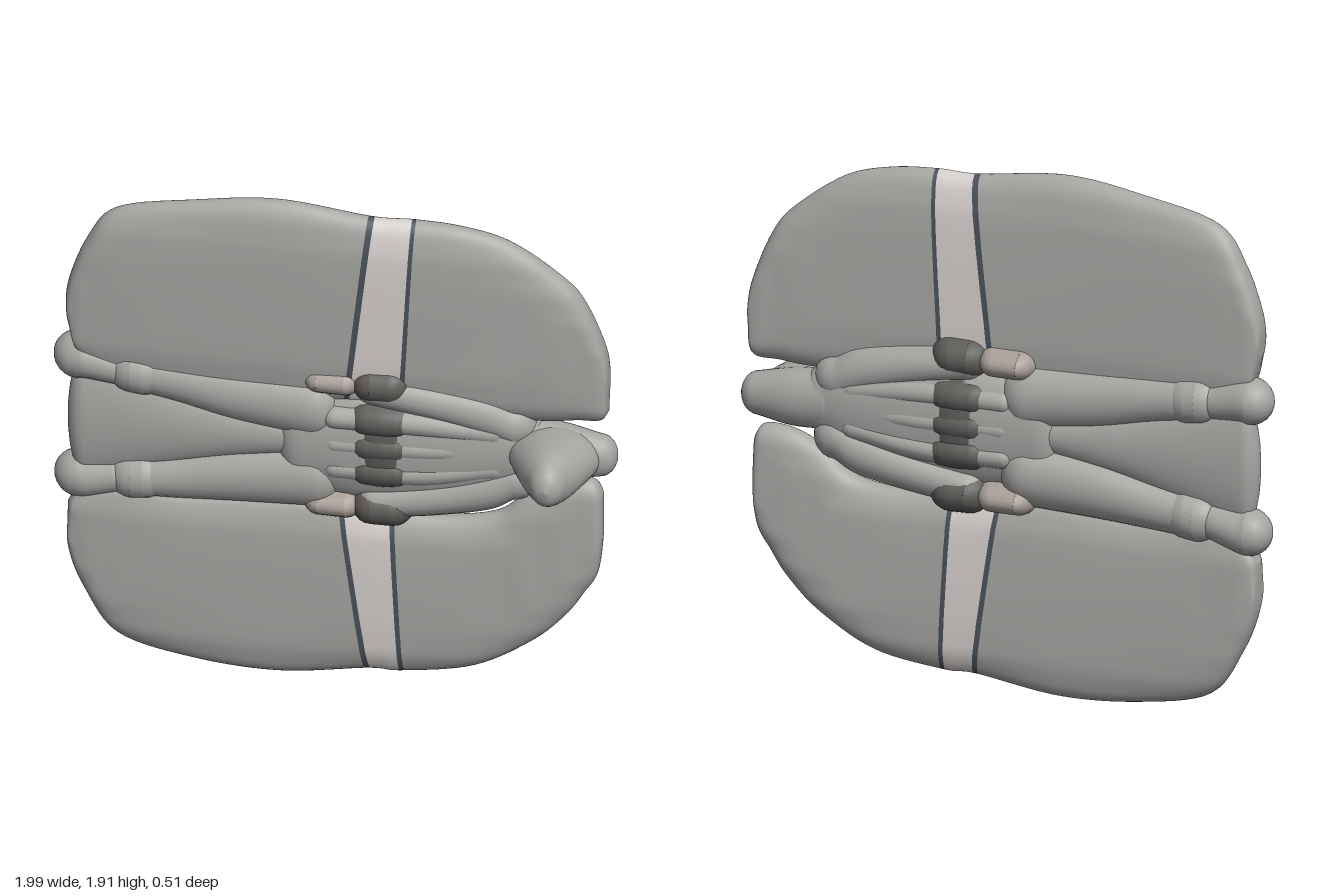
import * as THREE from 'three';

const paint = (color) => new THREE.MeshStandardMaterial({ color, side: THREE.DoubleSide });
const GREY = paint(0xa6a6a3), STRIPE = paint(0xd6d0cd), LINE = paint(0x4a525c);
const DARK = paint(0x5c5b58), CUFF = paint(0xa89e98);

// Middle surface of the whole slab, tilted both ways and slightly bowed
const planeZ = (x, y) => -0.083 + 0.037 * x - 0.033 * x * x + 0.036 * (y - 0.95);

// Skin over closed rings that follow each other along +x
function loft(name, rings, material) {
  const n = rings[0].length, pos = [], idx = [];
  rings.forEach((ring) => ring.forEach((p) => pos.push(...p)));
  for (let i = 0; i < rings.length - 1; i++) {
    for (let j = 0; j < n; j++) {
      const a = i * n + j, b = i * n + ((j + 1) % n);
      idx.push(a, b, a + n, b, b + n, a + n);
    }
  }
  const geo = new THREE.BufferGeometry();
  geo.setAttribute('position', new THREE.Float32BufferAttribute(pos, 3));
  geo.setIndex(idx);
  geo.computeVertexNormals();
  const mesh = new THREE.Mesh(geo, material);
  mesh.name = name;
  return mesh;
}

const curve = (pts) => new THREE.CatmullRomCurve3(pts.map((p) => new THREE.Vector3(...p)), false, 'catmullrom');

// Rounded limb along x; each point is [x, y, radiusY, radiusZ, offsetZ]
function limb(name, points, material = GREY) {
  const path = curve(points.map(([x, y, , , dz = -0.012]) => [x, y, dz]));
  const size = curve(points.map(([, , ry, rz]) => [ry, rz, 0]));
  const rings = [];
  const ring = (t, scale, shift) => {
    const p = path.getPoint(t), s = size.getPoint(t);
    const x = p.x + shift * Math.min(s.x, s.y), z = planeZ(x, p.y) + p.z;
    rings.push(Array.from({ length: 24 }, (_, j) => {
      const a = (j / 24) * Math.PI * 2;
      return [x, p.y + s.x * scale * Math.cos(a), z + s.y * scale * Math.sin(a)];
    }));
  };
  for (let k = 0; k < 6; k++) ring(0, Math.sin(k * Math.PI / 12), -Math.cos(k * Math.PI / 12));
  for (let k = 0; k <= 24; k++) ring(k / 24, 1, 0);
  for (let k = 5; k >= 0; k--) ring(1, Math.sin(k * Math.PI / 12), Math.cos(k * Math.PI / 12));
  return loft(name, rings, material);
}

// Flat rounded wing; each station is [xTop, yTop, xBottom, yBottom]
function wing(name, stations) {
  const group = new THREE.Group();
  group.name = name;
  const top = curve(stations.map((s) => [s[0], s[1], 0]));
  const bottom = curve(stations.map((s) => [s[2], s[3], 0]));
  const ring = (u) => {
    const p = top.getPoint(u), q = bottom.getPoint(u), e = 2 * u - 1;
    // Thickest in the middle, rounded off at both ends
    const t = 0.071 * (1 - 0.25 * e * e) * Math.sqrt(Math.max(0, 1 - Math.pow(e, 14)));
    return Array.from({ length: 48 }, (_, j) => {
      const a = (j / 48) * Math.PI * 2, c = Math.cos(a);
      const v = 0.5 - 0.5 * Math.sign(c) * Math.pow(Math.abs(c), 0.45);
      const x = p.x + (q.x - p.x) * v, y = p.y + (q.y - p.y) * v;
      return [x, y, planeZ(x, y) + Math.sin(a) * (t + 0.0015 * Math.sin(y * 55))];
    });
  };
  // Panels: field, dark line, light stripe, dark line, field
  const n = stations.length - 1, a = 6 / n, b = 7 / n, w = 0.007;
  const panels = [
    ['wingFieldRight', 0, a - w / 2, GREY], ['stripeLineRight', a - w / 2, a + w / 2, LINE],
    ['stripe', a + w / 2, b - w / 2, STRIPE],
    ['stripeLineLeft', b - w / 2, b + w / 2, LINE], ['wingFieldLeft', b + w / 2, 1, GREY],
  ];
  for (const [part, u0, u1, material] of panels) {
    const steps = Math.max(2, Math.ceil((u1 - u0) * 90));
    const rings = Array.from({ length: steps + 1 }, (_, i) => ring(u0 + (u1 - u0) * i / steps));
    group.add(loft(part, rings, material));
  }
  return group;
}

export function createModel() {
  const model = new THREE.Group();
  model.name = 'wingedFigure';

  model.add(wing('upperWing', [
    [-0.95, 1.36, -0.93, 1.29], [-0.945, 1.5, -0.91, 1.23], [-0.875, 1.69, -0.87, 1.18],
    [-0.77, 1.82, -0.77, 1.15], [-0.5, 1.88, -0.5, 1.13], [-0.2, 1.915, -0.2, 1.12],
    [0.13, 1.875, 0.04, 1.12], [0.28, 1.875, 0.235, 1.12], [0.45, 1.86, 0.42, 1.11],
    [0.62, 1.81, 0.6, 1.1], [0.8, 1.68, 0.75, 1.1], [0.88, 1.58, 0.85, 1.11],
    [0.95, 1.4, 0.93, 1.115], [0.965, 1.27, 0.96, 1.15],
  ]));
  model.add(wing('lowerWing', [
    [-0.95, 0.61, -0.95, 0.54], [-0.92, 0.66, -0.945, 0.42], [-0.87, 0.7, -0.89, 0.27],
    [-0.76, 0.72, -0.77, 0.1], [-0.5, 0.7, -0.5, 0.03], [-0.2, 0.72, -0.2, 0.01],
    [0.02, 0.72, 0.11, 0.05], [0.2, 0.7, 0.23, 0.05], [0.4, 0.69, 0.48, 0.09],
    [0.57, 0.72, 0.68, 0.2], [0.67, 0.8, 0.8, 0.31], [0.79, 0.86, 0.87, 0.41],
    [0.9, 0.87, 0.92, 0.5], [0.94, 0.82, 0.94, 0.66],
  ]));

  // Torso with chest ridges and a ridged belt
  model.add(limb('torso', [
    [-0.12, 0.97, 0.2, 0.09], [0.1, 0.97, 0.235, 0.1], [0.38, 0.98, 0.23, 0.1],
    [0.58, 0.99, 0.18, 0.09], [0.68, 0.99, 0.13, 0.075],
  ]));
  model.add(limb('belt', [[0.15, 0.98, 0.22, 0.108], [0.19, 0.98, 0.22, 0.108]], DARK));
  for (const y of [0.88, 0.98, 1.08]) {
    model.add(limb('chestRidge', [
      [0.0, y, 0.06, 0.1], [0.3, y, 0.065, 0.106], [0.56, y * 0.7 + 0.3, 0.06, 0.09],
    ]));
    model.add(limb('beltBand', [[0.11, y, 0.075, 0.113], [0.17, y, 0.078, 0.117], [0.22, y, 0.075, 0.113]], DARK));
  }

  // Limbs, mirrored about the figure's long axis
  for (const [side, legY, armY] of [
    ['upper', (y) => y, (y) => y],
    ['lower', (y) => 1.92 - y, (y) => 1.945 - y],
  ]) {
    model.add(limb(side + 'Leg', [
      [-0.72, legY(1.175), 0.078, 0.08], [-0.55, legY(1.155), 0.09, 0.084],
      [-0.35, legY(1.125), 0.11, 0.092], [-0.08, legY(1.1), 0.125, 0.105],
    ]));
    model.add(limb(side + 'AnkleJoint', [
      [-0.72, legY(1.175), 0.09, 0.09], [-0.68, legY(1.17), 0.09, 0.09],
    ]));
    model.add(limb(side + 'Foot', [
      [-0.915, legY(1.2), 0.085, 0.085, -0.018], [-0.88, legY(1.2), 0.08, 0.085, -0.015],
      [-0.78, legY(1.18), 0.07, 0.075],
    ]));
    model.add(limb(side + 'Arm', [
      [0.14, armY(1.2), 0.075, 0.1], [0.35, armY(1.165), 0.085, 0.1],
      [0.54, armY(1.12), 0.095, 0.095], [0.63, armY(1.08), 0.09, 0.085],
    ]));
    model.add(limb(side + 'WristBand', [
      [0.13, armY(1.22), 0.08, 0.112], [0.2, armY(1.22), 0.082, 0.112],
    ], DARK));
    model.add(limb(side + 'Hand', [
      [-0.06, armY(1.22), 0.058, 0.11, -0.022], [0.04, armY(1.22), 0.06, 0.11, -0.018],
    ], CUFF));
  }

  // Web between the legs, widening towards the feet
  model.add(limb('legWeb', [
    [-0.89, 0.96, 0.24, 0.06], [-0.65, 0.965, 0.18, 0.066],
    [-0.4, 0.97, 0.12, 0.07], [-0.1, 0.975, 0.07, 0.07],
  ]));

  // Head with a blunt cone pointing forward
  model.add(limb('head', [
    [0.66, 0.99, 0.11, 0.08], [0.8, 0.98, 0.105, 0.08, 0], [0.93, 0.975, 0.08, 0.062, 0.01],
  ]));
  const profile = [[0, -0.13], [0.07, -0.12], [0.1, -0.06], [0.105, 0], [0.105, 0.08],
    [0.1, 0.14], [0.08, 0.195], [0.05, 0.232], [0, 0.25]];
  const coneGeo = new THREE.LatheGeometry(new THREE.SplineCurve(profile.map((p) => new THREE.Vector2(...p)))
    .getPoints(32).map((p) => new THREE.Vector2(Math.max(0, p.x), p.y)), 32).rotateX(Math.PI / 2);
  const pos = coneGeo.attributes.position;
  // Wider across x at its base
  for (let i = 0; i < pos.count; i++) {
    pos.setX(i, pos.getX(i) * Math.min(1.5, Math.max(0.8, 1.5 - 4 * pos.getZ(i))));
  }
  coneGeo.computeVertexNormals();
  const face = new THREE.Mesh(coneGeo, GREY);
  face.name = 'faceCone';
  face.position.set(0.775, 0.98, 0);
  model.add(face);

  return model;
}
